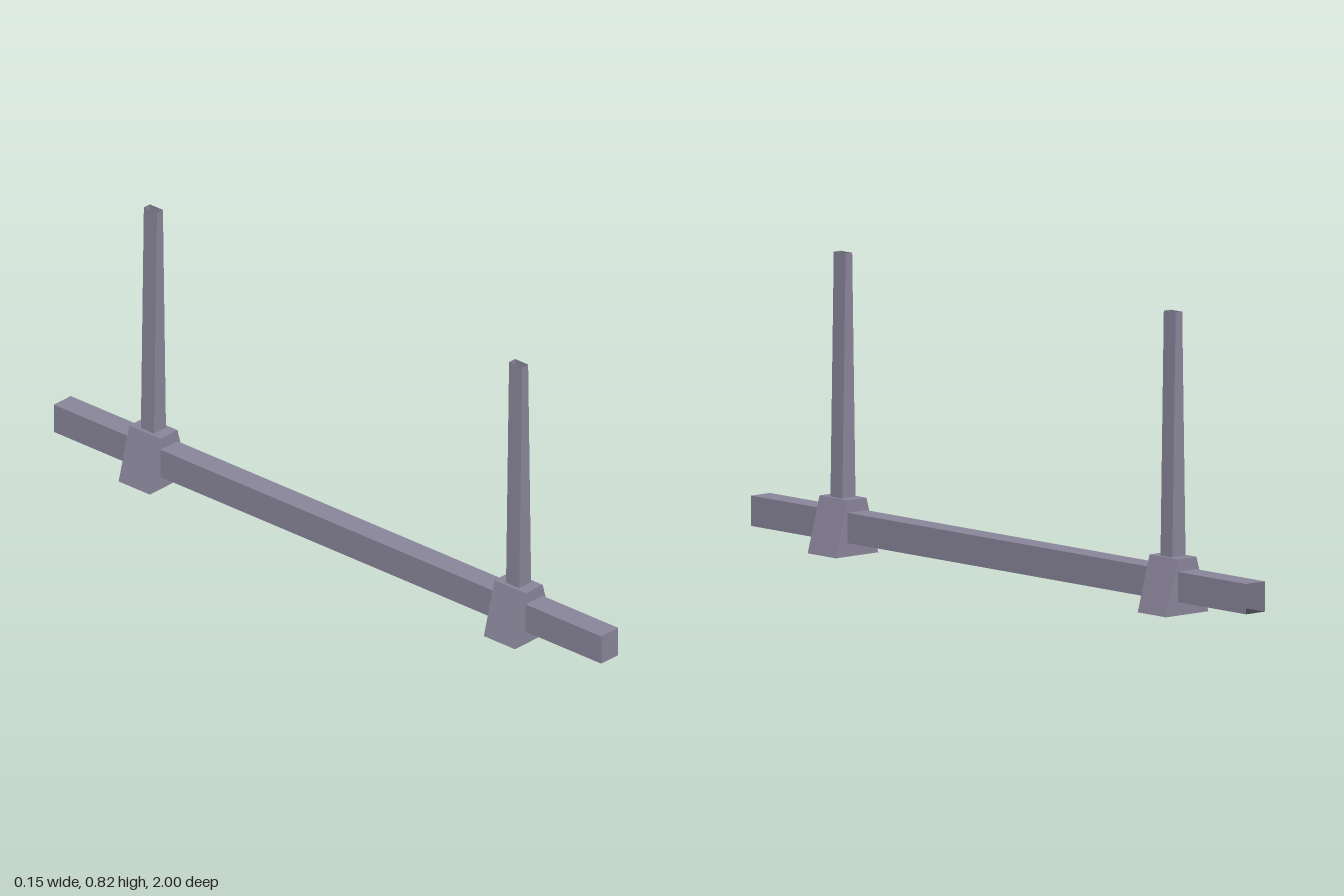
import * as THREE from 'three';

const D = THREE.DoubleSide;
const steel = new THREE.MeshStandardMaterial({ name: 'greyViolet', color: 0x8a869b, side: D });
const dark = new THREE.MeshStandardMaterial({ name: 'darkUnderside', color: 0x434149, side: D });
const sole = new THREE.MeshStandardMaterial({ name: 'warmGreySole', color: 0x9a9992, side: D });

// Box face order used by BoxGeometry
const FACES = ['+x', '-x', '+y', '-y', '+z', '-z'];

// Box standing on y = 0, narrowing in x from bottom to top half width;
// "open" lists faces left out, "under" colours the bottom face.
function taperedBox(name, bottom, top, height, depth, open, under) {
  const geo = new THREE.BoxGeometry(1, height, depth);
  geo.translate(0, height / 2, 0);
  const pos = geo.attributes.position;
  for (let i = 0; i < pos.count; i++) {
    const half = pos.getY(i) > height / 2 ? top : bottom;
    pos.setX(i, Math.sign(pos.getX(i)) * half);
  }
  geo.computeVertexNormals();
  const index = Array.from(geo.index.array);
  const kept = [];
  geo.clearGroups();
  FACES.forEach((face, i) => {
    if (open.includes(face)) return;
    geo.addGroup(kept.length, 6, face === '-y' ? 1 : 0);
    kept.push(...index.slice(i * 6, i * 6 + 6));
  });
  geo.setIndex(kept);
  const mesh = new THREE.Mesh(geo, [steel, under]);
  mesh.name = name;
  return mesh;
}

export function createModel() {
  const model = new THREE.Group();
  model.name = 'railWithPosts';

  // Long beam, hollow at the back end
  const beam = taperedBox('beam', 0.034, 0.034, 0.083, 2, ['-z'], dark);
  beam.position.y = 0.037;
  model.add(beam);

  // Wedge foot with an open-topped post at each end
  for (const side of [1, -1]) {
    const support = new THREE.Group();
    support.name = side > 0 ? 'frontSupport' : 'backSupport';
    const foot = taperedBox('foot', 0.077, 0.034, 0.154, 0.114, [], sole);
    const post = taperedBox('post', 0.024, 0.012, 0.669, 0.048, ['+y', '-y'], steel);
    post.position.y = 0.154;
    support.add(foot, post);
    support.position.z = side * 0.667;
    model.add(support);
  }
  return model;
}
